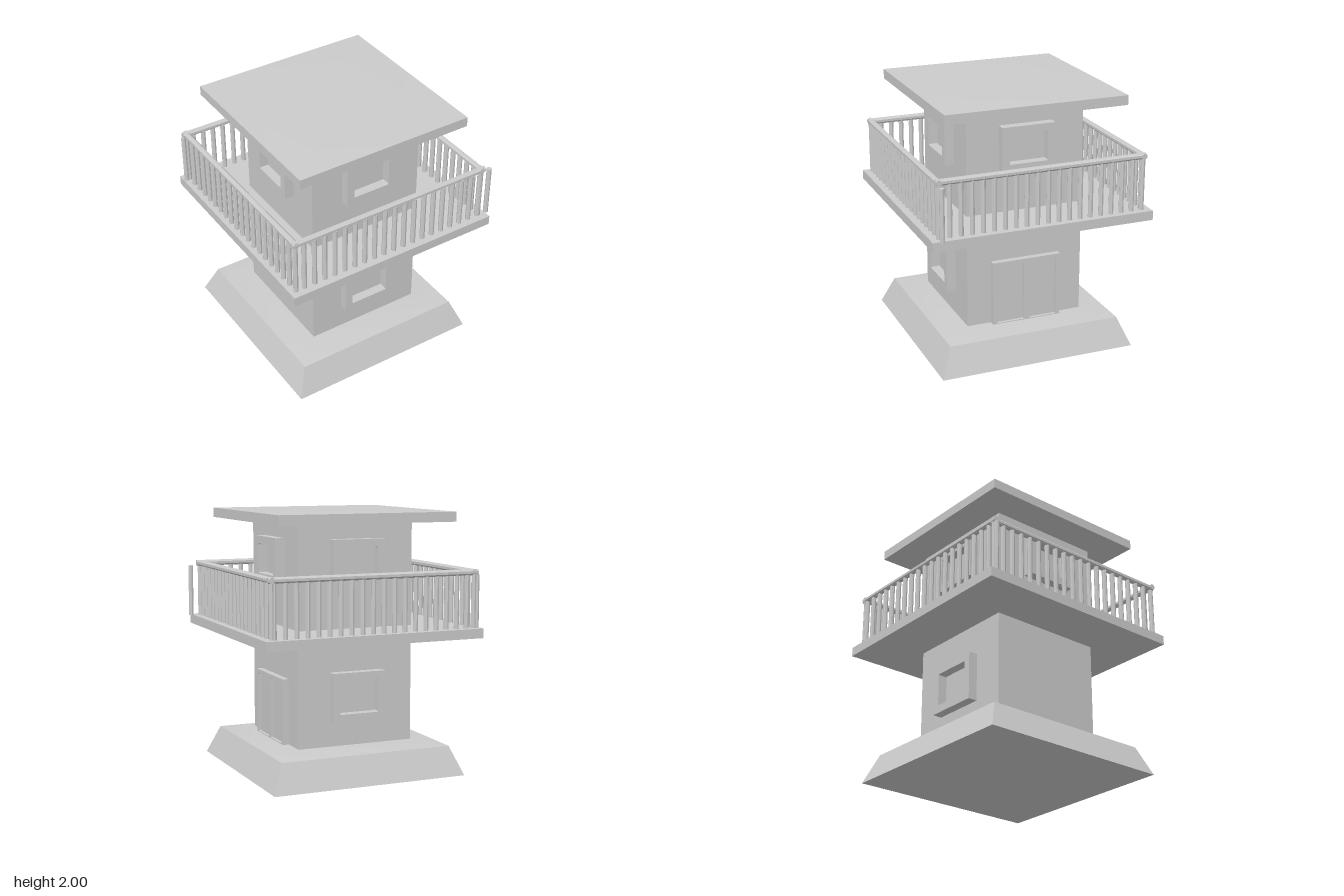
import * as THREE from 'three';
import { toCreasedNormals } from 'three/addons/utils/BufferGeometryUtils.js';

const flat = new THREE.MeshStandardMaterial({ color: 0xcccccc, flatShading: true });
const smooth = new THREE.MeshStandardMaterial({ color: 0xcccccc });

export function createModel() {
  const model = new THREE.Group();
  model.name = 'watchtower';

  // The tower stands slightly off centre because one corner post overhangs
  const tower = new THREE.Group();
  tower.name = 'tower';
  tower.position.x = -0.018;
  model.add(tower);

  const add = (name, geometry, material = flat, parent = tower) => {
    const mesh = new THREE.Mesh(geometry, material);
    mesh.name = name;
    parent.add(mesh);
    return mesh;
  };

  // Square solid from [half width, height] pairs, bottom to top
  const squareSolid = (name, profile) => {
    const points = profile.map(([w, y]) => new THREE.Vector2(w * Math.SQRT2, y));
    add(name, toCreasedNormals(new THREE.LatheGeometry(points, 4, Math.PI / 4), 0.3), smooth);
  };

  squareSolid('plinth', [[0, 0], [0.77, 0], [0.68, 0.219], [0.462, 0.248], [0, 0.248]]);
  squareSolid('walls', [[0.462, 0.248], [0.462, 1.91]]);
  squareSolid('balconyDeck', [[0, 1.058], [0.862, 1.058], [0.862, 1.131], [0, 1.131]]);
  squareSolid('roof', [[0, 1.908], [0.462, 1.908], [0.706, 1.917], [0.706, 1.991], [0.462, 2], [0, 2]]);

  // Rectangular outline with corners of radius r
  const rect = (target, [x0, x1, y0, y1], r) => {
    target.moveTo(x0 + r, y0);
    target.lineTo(x1 - r, y0);
    target.quadraticCurveTo(x1, y0, x1, y0 + r);
    target.lineTo(x1, y1 - r);
    target.quadraticCurveTo(x1, y1, x1 - r, y1);
    target.lineTo(x0 + r, y1);
    target.quadraticCurveTo(x0, y1, x0, y1 - r);
    target.lineTo(x0, y0 + r);
    target.quadraticCurveTo(x0, y0, x0 + r, y0);
    return target;
  };

  // Frame with openings, fixed to one wall; turn is the wall's angle about y
  const frame = (name, turn, depth, outer, holes) => {
    const [x0, x1, y0, y1] = outer;
    const shape = new THREE.Shape([[x0, y0], [x1, y0], [x1, y1], [x0, y1]].map(p => new THREE.Vector2(...p)));
    for (const hole of holes) shape.holes.push(rect(new THREE.Path(), hole, 0.008));
    const geometry = new THREE.ExtrudeGeometry(shape, { depth, bevelEnabled: false, curveSegments: 3 });
    geometry.translate(0, 0, 0.46);
    add(name, geometry).rotation.y = turn;
  };

  // Upper windows on all four walls, lower ones on front and back
  for (let i = 0; i < 4; i++) {
    const turn = i * Math.PI / 2;
    frame('upperWindowFrame', turn, 0.075, [-0.208, 0.208, 1.453, 1.797], [[-0.15, 0.15, 1.513, 1.737]]);
    if (i % 2 === 0) {
      frame('lowerWindowFrame', turn, 0.075, [-0.212, 0.212, 0.438, 0.81], [[-0.155, 0.155, 0.498, 0.752]]);
    }
  }

  // Double door on the left wall, with leaves set slightly back in the frame
  const openings = [[-0.24, -0.024, 0.254, 0.717], [0.024, 0.24, 0.254, 0.717]];
  frame('doorFrame', Math.PI / 2, 0.05, [-0.273, 0.273, 0.248, 0.748], openings);
  for (const side of [-1, 1]) {
    add('doorLeaf', new THREE.BoxGeometry(0.03, 0.463, 0.216)).position.set(0.472, 0.4855, side * 0.132);
  }

  // Balcony railing
  const railing = new THREE.Group();
  railing.name = 'railing';
  model.add(railing);

  const railX = [-0.828, 0.78], railZ = [-0.795, 0.795];
  const addRail = (length, axis, x, z) => {
    const geometry = new THREE.CylinderGeometry(0.024, 0.024, length, 8);
    geometry.rotateY(Math.PI / 8);
    const rail = add('handrail', geometry, flat, railing);
    rail.rotation[axis] = Math.PI / 2;
    rail.position.set(x, 1.547, z);
  };
  for (const z of railZ) addRail(1.665, 'z', -0.025, z);
  for (const x of railX) addRail(1.63, 'x', x, 0);

  // Balusters; the front row starts beyond the corner of the deck
  const barGeometry = new THREE.CylinderGeometry(0.019, 0.019, 0.4, 8);
  const baluster = (x, z) => add('baluster', barGeometry, flat, railing).position.set(x, 1.329, z);
  for (let i = 0; i < 20; i++) {
    baluster(0.858 - i * 0.085, railZ[1]);
    baluster(-0.855 + i * 0.085, railZ[0]);
    for (const x of railX) baluster(x, -0.795 + i * 0.0837);
  }
  return model;
}
